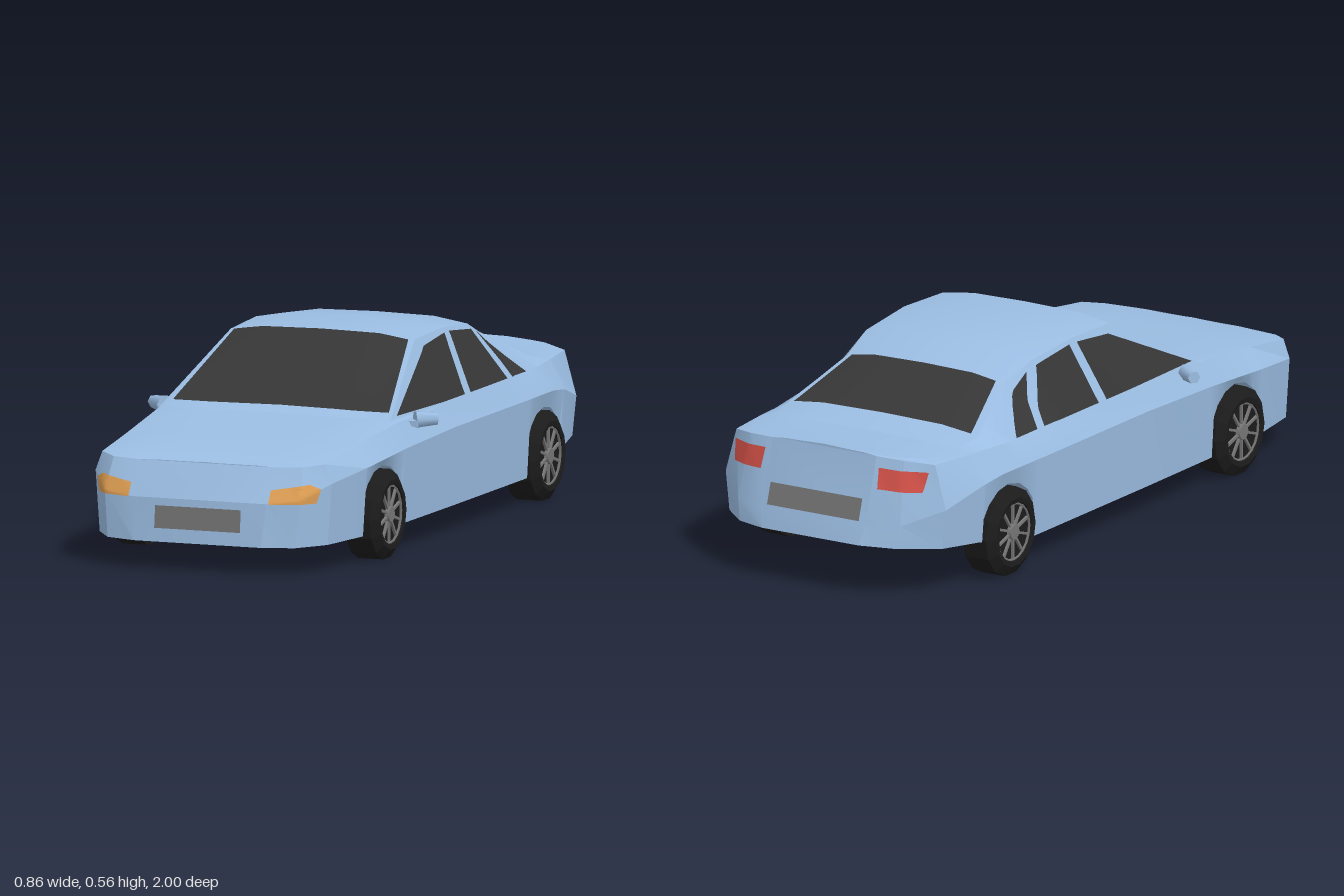
import * as THREE from 'three';
import { toCreasedNormals } from 'three/addons/utils/BufferGeometryUtils.js';

const mat = (color, extra = {}) => new THREE.MeshStandardMaterial({ color, ...extra });
const WHEEL_Z = [0.57, -0.585], WHEEL_R = 0.125, ARCH_R = 0.135;

// Body sections, front to back: z, waist w, y, shoulder w, y, roof edge w, y, centre y
const KEYS = [
  [1, .20, .20, .20, .295, .15, .297, .298],
  [.97, .29, .21, .28, .297, .20, .30, .30],
  [.88, .35, .25, .33, .303, .25, .311, .312],
  [.70, .38, .27, .335, .325, .25, .333, .336],
  [.415, .392, .29, .355, .355, .335, .36, .363],
  [.09, .395, .30, .36, .36, .272, .535, .553],
  [-.10, .395, .30, .36, .36, .275, .542, .56],
  [-.30, .395, .30, .36, .36, .27, .525, .544],
  [-.42, .395, .30, .36, .36, .255, .485, .503],
  [-.63, .392, .30, .353, .37, .31, .395, .412],
  [-.72, .388, .29, .345, .372, .30, .38, .388],
  [-.87, .36, .25, .325, .375, .28, .386, .394],
  [-.965, .265, .21, .25, .385, .21, .39, .396],
  [-1, .17, .20, .17, .39, .13, .394, .398],
];

function sampleKey(z) {
  const i = Math.max(1, KEYS.findIndex(k => k[0] <= z));
  const a = KEYS[i - 1], b = KEYS[i], t = (a[0] - z) / (a[0] - b[0]);
  return a.map((v, n) => v + (b[n] - v) * t);
}

// Closed ring of 16 points, with wheel wells cut into the lower edge
function section(z) {
  const [, w4, y4, w5, y5, w6, y6, y8] = sampleKey(z);
  // The floor rises under the tail; nose and tail lean inwards at the top
  const floor = z > -.72 ? .08 + .045 * Math.max(0, (-.54 - z) / .18) : .125 + (-.72 - z) * .09;
  const lean = .56 * (Math.max(0, -.87 - z) - Math.max(0, z - .88));
  let yb = floor;
  for (const wz of WHEEL_Z) {
    const d = Math.abs(z - wz);
    if (d < ARCH_R * 0.93) yb = Math.max(yb, WHEEL_R + Math.sqrt(ARCH_R ** 2 - d * d));
  }
  const w3 = w4 - .012, wi = Math.min(.29, w3);
  const half = [[0, floor], [wi, floor], [wi, yb], [w3, yb], [w4, Math.max(y4, yb + .01)],
    [w5, y5], [w6, y6], [w6 * .63, y8 - .003], [0, y8]]
    .map(([x, y], j) => [x, y, z + lean * (j < 4 ? 0 : j === 4 ? 0.2 : 1)]);
  return [...half, ...half.slice(1, 8).reverse().map(([x, y, zz]) => [-x, y, zz])];
}

function meshGeometry(pos, index) {
  const g = new THREE.BufferGeometry();
  g.setAttribute('position', new THREE.Float32BufferAttribute(pos, 3));
  g.setIndex(index);
  return g;
}

function bodyGeometry() {
  const zs = [...KEYS.map(k => k[0]), ...WHEEL_Z];
  for (const wz of WHEEL_Z)
    for (const d of [0.127, 0.12, 0.095, 0.055]) zs.push(wz + d, wz - d);
  zs.sort((a, b) => b - a);
  const N = 16, pos = zs.flatMap(z => section(z).flat()), index = [];
  for (let i = 0; i < zs.length - 1; i++)
    for (let j = 0; j < N; j++) {
      const a = i * N + j, b = i * N + (j + 1) % N;
      index.push(a, a + N, b, b, a + N, b + N);
    }
  // Nose and tail caps
  const last = (zs.length - 1) * N;
  for (let j = 0; j < 8; j++) {
    const r = j, r2 = j + 1, l = (N - j) % N, l2 = N - j - 1;
    index.push(l, r, r2, l, r2, l2);
    index.push(last + r, last + l, last + r2, last + r2, last + l, last + l2);
  }
  return toCreasedNormals(meshGeometry(pos, index), 0.3);
}

// Ray start for a panel point, and ray direction, per side of the car
const AXES = {
  front: [(u, v) => [u, v, 3], [0, 0, -1]],
  back: [(u, v) => [u, v, -3], [0, 0, 1]],
  top: [(u, v) => [u, 3, v], [0, -1, 0]],
  left: [(u, v) => [3, v, u], [-1, 0, 0]],
  right: [(u, v) => [-3, v, u], [1, 0, 0]],
};

// Four-cornered panel laid onto the body along an axis
function panel(body, name, material, axis, [a, b, c, d], lift = 0.005) {
  const [origin, dirArray] = AXES[axis], dir = new THREE.Vector3(...dirArray);
  const ray = new THREE.Raycaster(), pos = [], index = [], n = 12;
  const mix = THREE.MathUtils.lerp;
  for (let i = 0; i <= n; i++)
    for (let j = 0; j <= n; j++) {
      const [u, v] = [0, 1].map(k => mix(mix(a[k], b[k], j / n), mix(d[k], c[k], j / n), i / n));
      ray.set(new THREE.Vector3(...origin(u, v)), dir);
      const hit = ray.intersectObject(body)[0];
      pos.push(...hit.point.addScaledVector(dir, -lift).toArray());
      if (i < n && j < n) {
        const p = i * (n + 1) + j, q = p + n + 1;
        index.push(p, p + 1, q, q, p + 1, q + 1);
      }
    }
  // Face the panel outward
  const P = k => new THREE.Vector3().fromArray(pos, k * 3);
  const normal = P(1).sub(P(0)).cross(P(n + 1).sub(P(0)));
  if (normal.dot(dir) > 0) index.reverse();
  const g = meshGeometry(pos, index);
  g.computeVertexNormals();
  const m = new THREE.Mesh(g, material);
  m.name = name;
  return m;
}

// Wheel with its outer face towards +x
function makeWheel(mats) {
  const g = new THREE.Group();
  g.name = 'wheel';
  const add = (name, geo, m, x) => {
    const mesh = new THREE.Mesh(geo, m);
    mesh.name = name;
    mesh.position.x = x;
    g.add(mesh);
    return mesh;
  };
  const profile = [[0, 0], [WHEEL_R, 0], [WHEEL_R, .075], [.098, .093], [.084, .091], [.08, .078], [0, .078]]
    .map(p => new THREE.Vector2(...p));
  add('tyre', new THREE.LatheGeometry(profile, 14).rotateZ(-Math.PI / 2), mats.tyre, 0);
  add('rim', new THREE.TorusGeometry(.08, .004, 4, 20).rotateY(Math.PI / 2), mats.spoke, .084);
  add('hub', new THREE.CylinderGeometry(.022, .024, .012, 10).rotateZ(-Math.PI / 2), mats.spoke, .084);
  for (let i = 0; i < 10; i++) {
    const spoke = add('spoke', new THREE.BoxGeometry(.008, .062, .007).translate(0, .048, 0), mats.spoke, .081);
    spoke.rotation.x = i * Math.PI / 5;
  }
  return g;
}

// Left door mirror: tapered six-sided housing on a short arm
function makeMirror(paint) {
  const g = new THREE.Group();
  g.name = 'doorMirror';
  const shell = new THREE.Mesh(new THREE.CylinderGeometry(.018, .025, .062, 6).rotateZ(-Math.PI / 2), paint);
  shell.name = 'mirrorHousing';
  shell.position.set(.396, .353, .308);
  shell.rotation.y = 0.65;
  const arm = new THREE.Mesh(new THREE.BoxGeometry(.04, .016, .03), paint);
  arm.name = 'mirrorArm';
  arm.position.set(.365, .343, .33);
  g.add(shell, arm);
  return g;
}

export function createModel() {
  const car = new THREE.Group();
  car.name = 'car';
  const paint = mat(0x9bbde2), glass = mat(0x363636), amber = mat(0xdd9d52);
  const red = mat(0xd25148), plate = mat(0x737373);
  const mats = { tyre: mat(0x1c1c1c, { flatShading: true }), spoke: mat(0x777777) };

  const body = new THREE.Mesh(bodyGeometry(), paint);
  body.name = 'body';
  car.add(body);
  const put = (...args) => car.add(panel(body, ...args));

  // Windscreen, rear window and plates
  put('windscreen', glass, 'top', [[-.32, .392], [.32, .392], [.258, .1], [-.258, .1]]);
  put('rearWindow', glass, 'top', [[-.235, -.425], [.235, -.425], [.29, -.635], [-.29, -.635]]);
  put('frontPlate', plate, 'front', [[-.127, .118], [.127, .118], [.127, .18], [-.127, .18]]);
  put('rearPlate', plate, 'back', [[-.15, .215], [.15, .215], [.15, .275], [-.15, .275]]);

  // Side windows, as z and y corners
  const sideWindows = {
    frontSideWindow: [[.38, .368], [-.06, .368], [-.095, .53], [.06, .515]],
    middleSideWindow: [[-.1, .368], [-.37, .368], [-.295, .512], [-.13, .53]],
    rearSideWindow: [[-.405, .368], [-.51, .368], [-.42, .455], [-.335, .502]],
  };
  for (const s of [1, -1]) {
    for (const [name, corners] of Object.entries(sideWindows))
      put(name, glass, s > 0 ? 'left' : 'right', corners);
    put('headlight', amber, 'front', [[s * .207, .2], [s * .322, .2], [s * .332, .238], [s * .207, .237]], .007);
    put('headlightTop', amber, 'front', [[s * .207, .237], [s * .332, .238], [s * .305, .252], [s * .28, .248]], .007);
    put('tailLight', red, 'back', [[s * .19, .305], [s * .305, .3], [s * .315, .355], [s * .185, .362]], .007);

    const mirror = makeMirror(paint);
    mirror.scale.x = s;
    car.add(mirror);

    for (const z of WHEEL_Z) {
      const wheel = makeWheel(mats);
      wheel.position.set(s * .312, WHEEL_R, z);
      if (s < 0) wheel.rotation.y = Math.PI;
      car.add(wheel);
    }
  }
  return car;
}
